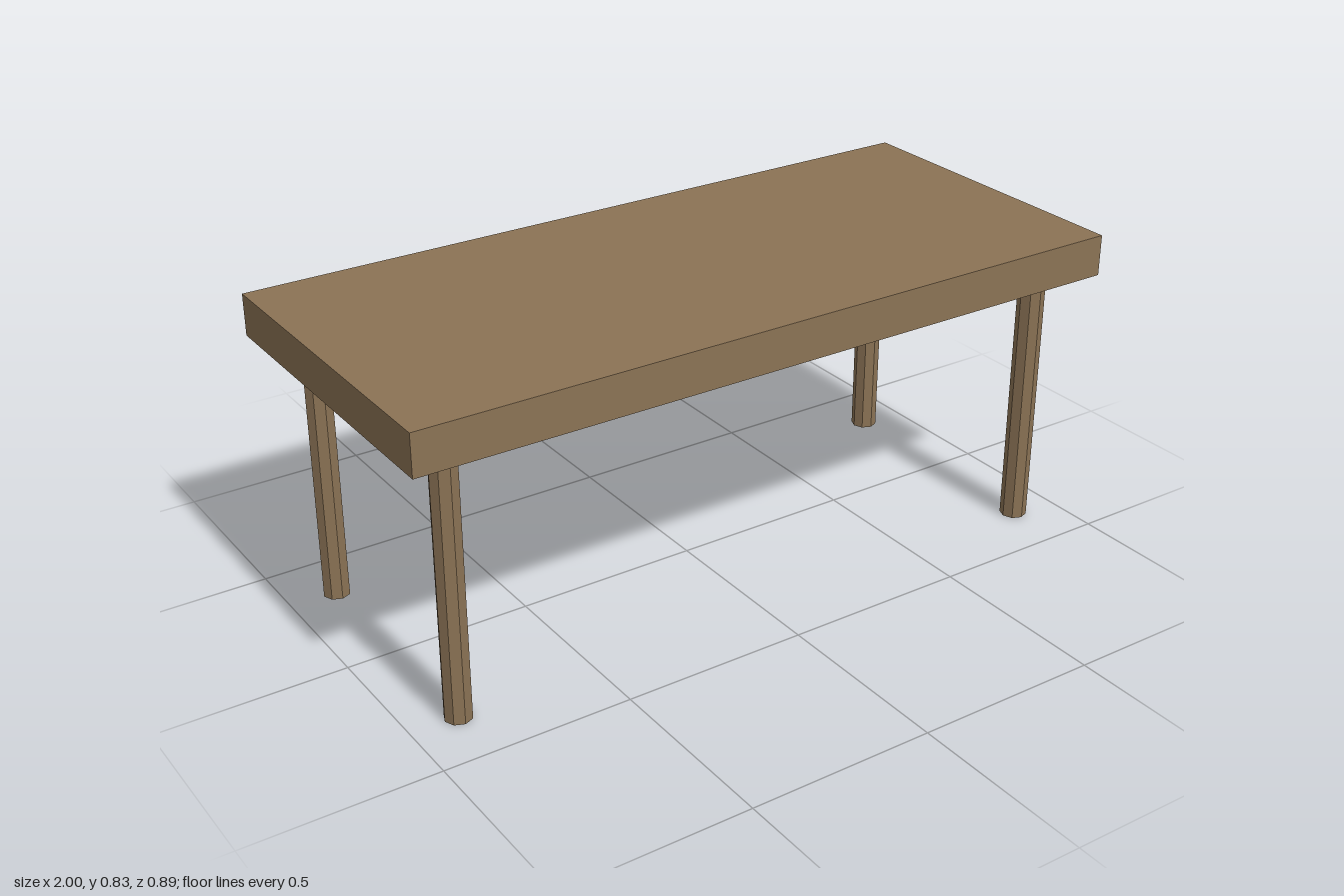
import * as THREE from 'three';

export function createModel() {
  const table = new THREE.Group();
  table.name = 'table';

  const wood = new THREE.MeshStandardMaterial({ color: 0x8b7355 });
  wood.name = 'brown wood';

  const legHeight = 0.724;
  const topThickness = 0.111;

  // Thick rectangular slab
  const tabletop = new THREE.Mesh(new THREE.BoxGeometry(2, topThickness, 0.889), wood);
  tabletop.name = 'tabletop';
  tabletop.position.y = legHeight + topThickness / 2;
  table.add(tabletop);

  // Four eight-sided legs with faceted normals
  const legGeometry = new THREE.CylinderGeometry(0.036, 0.036, legHeight, 8).toNonIndexed();
  legGeometry.computeVertexNormals();
  for (const [side, x] of [['Left', 0.873], ['Right', -0.873]]) {
    for (const [end, z] of [['front', 0.333], ['back', -0.333]]) {
      const leg = new THREE.Mesh(legGeometry, wood);
      leg.name = `${end}${side}Leg`;
      leg.position.set(x, legHeight / 2, z);
      table.add(leg);
    }
  }

  return table;
}
